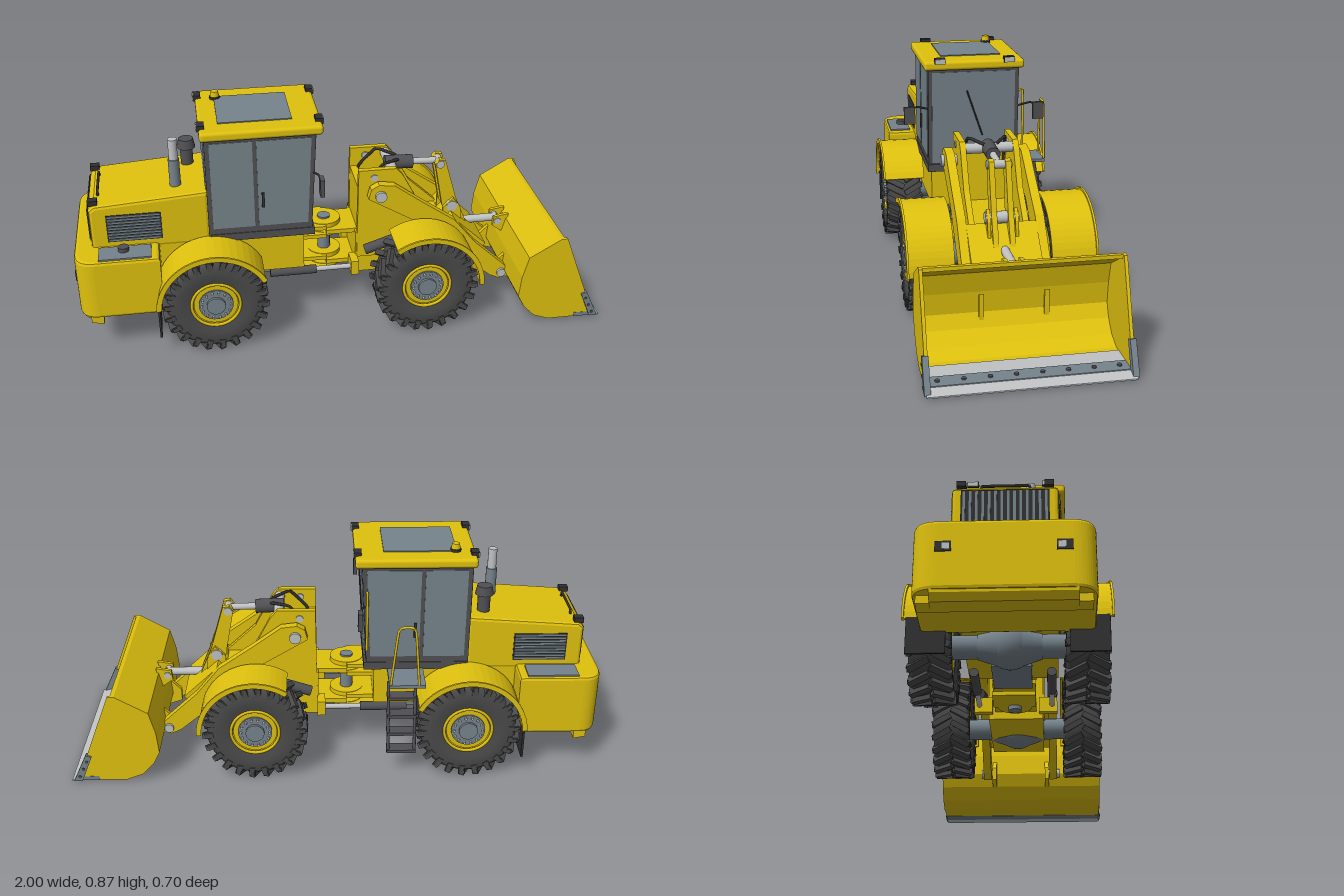
import * as THREE from 'three';
import { RoundedBoxGeometry } from 'three/addons/geometries/RoundedBoxGeometry.js';

const mat = (name, color) => {
  const m = new THREE.MeshStandardMaterial({ color });
  m.name = name;
  return m;
};

export function createModel() {
  const root = new THREE.Group();
  root.name = 'earthMover';
  const yellow = mat('yellow paint', 0xdfc10e);
  const rubber = mat('tyre rubber', 0x4a4a4b);
  const frame = mat('dark frame', 0x504f53);
  const glass = mat('tinted glass', 0x76848b);
  const steel = mat('grey steel', 0x76838c);
  const silver = mat('bright steel', 0xbfc1c3);
  const black = mat('black trim', 0x303032);

  // helpers
  const add = (name, geo, m, parent = root) => {
    const mesh = new THREE.Mesh(geo, m);
    mesh.name = name;
    parent.add(mesh);
    return mesh;
  };
  const box = (name, m, x0, x1, y0, y1, z0, z1, r = 0) => {
    const s = [x1 - x0, y1 - y0, Math.abs(z1 - z0)];
    const mesh = add(name, r ? new RoundedBoxGeometry(...s, 2, r) : new THREE.BoxGeometry(...s), m);
    mesh.position.set((x0 + x1) / 2, (y0 + y1) / 2, (z0 + z1) / 2);
    return mesh;
  };
  const toShape = pts => new THREE.Shape(pts.map(p => new THREE.Vector2(...p)));
  // side profile in x/y, extruded between two z values
  const plate = (name, m, pts, z0, z1, bevel = 0) => {
    const lo = Math.min(z0, z1), d = Math.abs(z1 - z0);
    const geo = new THREE.ExtrudeGeometry(toShape(pts), {
      depth: d - 2 * bevel, bevelEnabled: bevel > 0, bevelSize: bevel, bevelThickness: bevel,
      bevelOffset: -bevel, bevelSegments: 2 });
    geo.translate(0, 0, lo + bevel);
    return add(name, geo, m);
  };
  const rod = (name, m, a, b, r, r2 = r, seg = 18) => {
    const A = new THREE.Vector3(...a), B = new THREE.Vector3(...b), d = B.clone().sub(A);
    const mesh = add(name, new THREE.CylinderGeometry(r2, r, d.length(), seg), m);
    mesh.position.copy(A).add(B).multiplyScalar(0.5);
    mesh.quaternion.setFromUnitVectors(new THREE.Vector3(0, 1, 0), d.normalize());
    return mesh;
  };
  const tube = (name, m, pts, r) => add(name, new THREE.TubeGeometry(
    new THREE.CatmullRomCurve3(pts.map(p => new THREE.Vector3(...p)), false, 'catmullrom', 0.1), 24, r, 8), m);
  const pin = (name, m, x, y, z0, z1, r) => rod(name, m, [x, y, z0], [x, y, z1], r);
  const sides = [1, -1];

  // wheels: lathed tyre, staggered chevron lugs, rim and bolts
  const tyreProfile = [[0.092, -0.062], [0.125, -0.07], [0.165, -0.07], [0.18, -0.058], [0.183, 0],
    [0.18, 0.058], [0.165, 0.07], [0.125, 0.07], [0.092, 0.062]].map(p => new THREE.Vector2(...p));
  const wheel = (x, s) => {
    const g = new THREE.Group();
    g.name = 'wheel';
    g.position.set(x, 0.197, s * 0.258);
    if (s < 0) g.rotation.y = Math.PI;
    root.add(g);
    add('tyre', new THREE.LatheGeometry(tyreProfile, 48).rotateX(Math.PI / 2), rubber, g);
    const lug = new THREE.BoxGeometry(0.022, 0.026, 0.078);
    const shoulder = new THREE.BoxGeometry(0.022, 0.034, 0.012);
    const N = 22;
    for (let i = 0; i < N; i++) for (const k of sides) {
      const pivot = new THREE.Group();
      pivot.name = 'treadLug';
      pivot.rotation.z = (i + (k > 0 ? 0 : 0.5)) * 2 * Math.PI / N;
      g.add(pivot);
      const bar = add('treadBar', lug, rubber, pivot);
      bar.position.set(0, 0.184, k * 0.036);
      bar.rotation.y = -k * 0.5 * s;
      add('treadShoulder', shoulder, rubber, pivot).position.set(-0.016 * s, 0.172, k * 0.068);
    }
    const disc = (name, m, r, z0, z1) => {
      add(name, new THREE.CylinderGeometry(r, r, z1 - z0, 32).rotateX(Math.PI / 2), m, g).position.z = (z0 + z1) / 2;
    };
    disc('rim', yellow, 0.094, -0.06, 0.05);
    disc('rimSeat', yellow, 0.082, 0.05, 0.058);
    disc('hubPlate', steel, 0.064, 0.05, 0.064);
    disc('hubCap', steel, 0.035, 0.06, 0.074);
    add('rimLip', new THREE.TorusGeometry(0.09, 0.006, 8, 36), yellow, g).position.z = 0.062;
    for (let i = 0; i < 14; i++) {
      const a = i * Math.PI / 7;
      add('wheelNut', new THREE.CylinderGeometry(0.005, 0.005, 0.012, 6).rotateX(Math.PI / 2), silver, g)
        .position.set(Math.cos(a) * 0.054, Math.sin(a) * 0.054, 0.067);
    }
  };
  // curved fender shell around a wheel centre
  const fender = (x, s, a0, a1) => {
    const arc = (r, n) => Array.from({ length: 21 }, (_, i) => {
      const a = (a0 + (a1 - a0) * (n ? 20 - i : i) / 20) * Math.PI / 180;
      return [x + r * Math.cos(a), 0.197 + r * Math.sin(a)];
    });
    plate('fender', yellow, [...arc(0.212, 0), ...arc(0.204, 1)], s * 0.175, s * 0.34);
    plate('fenderRim', yellow, [...arc(0.219, 0), ...arc(0.2, 1)], s * 0.337, s * 0.345);
  };
  for (const s of sides) {
    for (const x of [-0.5, 0.3]) wheel(x, s);
    fender(-0.5, s, 28, 178);
    fender(0.3, s, 0, 125);
    box('mudflap', black, -0.713, -0.705, 0.08, 0.21, s * 0.2, s * 0.33);
  }
  for (const x of [-0.5, 0.3]) {
    pin('axle', steel, x, 0.197, -0.2, 0.2, 0.042);
    for (const s of sides) rod('axleCone', steel, [x, 0.197, s * 0.02], [x, 0.197, s * 0.11], 0.075, 0.045, 24);
    add('differential', new THREE.SphereGeometry(0.08, 24, 16), steel).position.set(x, 0.197, 0);
  }

  // rear chassis, hood and counterweight
  box('rearChassis', yellow, -0.9, -0.15, 0.23, 0.4, -0.165, 0.165);
  box('engineSump', steel, -0.42, -0.22, 0.16, 0.24, -0.07, 0.07);
  plate('hood', yellow, [[-0.935, 0.38], [-0.935, 0.545], [-0.915, 0.562], [-0.5, 0.592], [-0.5, 0.38]], -0.17, 0.17, 0.012);
  const weight = new THREE.Shape();
  weight.moveTo(-0.69, -0.283).lineTo(-0.93, -0.283).quadraticCurveTo(-0.998, -0.28, -1, -0.2)
    .lineTo(-1, 0.2).quadraticCurveTo(-0.998, 0.28, -0.93, 0.283).lineTo(-0.69, 0.283);
  add('counterweight', new THREE.ExtrudeGeometry(weight, { depth: 0.215, bevelEnabled: true, bevelSize: 0.012,
    bevelThickness: 0.012, bevelOffset: -0.012, bevelSegments: 2 }).rotateX(Math.PI / 2), yellow).position.y = 0.384;
  plate('counterweightSkirt', yellow, [[-0.998, 0.22], [-0.993, 0.15], [-0.975, 0.127], [-0.915, 0.122], [-0.912, 0.22]], -0.225, 0.225);
  for (const s of sides) {
    plate('skirtCorner', yellow, [[-0.96, 0.2], [-0.96, 0.13], [-0.915, 0.122], [-0.912, 0.2]], s * 0.22, s * 0.268);
    box('sideStep', steel, -0.91, -0.72, 0.393, 0.402, s * 0.185, s * 0.272);
    box('sideGrille', black, -0.875, -0.675, 0.415, 0.525, s * 0.168, s * 0.173);
    for (let i = 0; i < 9; i++) box('sideLouvre', steel, -0.87, -0.68, 0.42 + i * 0.012, 0.4265 + i * 0.012, s * 0.17, s * 0.176);
    box('tailLamp', black, -1.003, -0.996, 0.285, 0.32, s * 0.16, s * 0.21);
    box('tailLens', silver, -1.005, -1, 0.292, 0.313, s * 0.165, s * 0.188);
    rod('rearLampPost', black, [-0.915, 0.55, s * 0.14], [-0.915, 0.575, s * 0.14], 0.005);
    box('rearLamp', black, -0.935, -0.9, 0.56, 0.58, s * 0.125, s * 0.155);
  }
  tube('hoodHandle', black, [[-0.9, 0.555, -0.08], [-0.9, 0.58, -0.075], [-0.9, 0.58, 0.075], [-0.9, 0.555, 0.08]], 0.005);
  box('rearGrille', black, -0.94, -0.934, 0.41, 0.54, -0.14, 0.14);
  for (let i = 0; i < 14; i++) box('rearGrilleBar', steel, -0.943, -0.938, 0.415, 0.535, -0.134 + i * 0.02, -0.126 + i * 0.02);
  rod('fuelCap', frame, [-0.82, 0.4, 0.215], [-0.82, 0.418, 0.215], 0.02);
  rod('exhaustBase', steel, [-0.615, 0.57, 0.075], [-0.615, 0.69, 0.075], 0.021);
  rod('exhaustPipe', silver, [-0.615, 0.69, 0.075], [-0.615, 0.77, 0.075], 0.017);
  rod('airIntake', frame, [-0.565, 0.57, -0.09], [-0.565, 0.665, -0.09], 0.024);
  rod('airIntakeCap', frame, [-0.565, 0.655, -0.09], [-0.565, 0.69, -0.09], 0.035, 0.028);

  // cab: dark shell with thin glass panels
  plate('cabShell', frame, [[-0.505, 0.4], [-0.505, 0.805], [-0.1, 0.805], [-0.12, 0.4]], -0.18, 0.18);
  box('cabFloor', frame, -0.5, -0.11, 0.385, 0.415, -0.183, 0.183);
  for (const s of sides) {
    plate('sideGlassRear', glass, [[-0.488, 0.44], [-0.488, 0.79], [-0.333, 0.79], [-0.333, 0.44]], s * 0.178, s * 0.183);
    plate('sideGlassFront', glass, [[-0.318, 0.44], [-0.318, 0.79], [-0.118, 0.79], [-0.134, 0.44]], s * 0.178, s * 0.183);
    box('doorHandle', black, -0.305, -0.295, 0.52, 0.58, s * 0.18, s * 0.19);
  }
  plate('windscreen', glass, [[-0.121, 0.42], [-0.1025, 0.79], [-0.098, 0.79], [-0.1165, 0.42]], -0.165, 0.165);
  box('rearWindow', glass, -0.509, -0.503, 0.6, 0.79, -0.16, 0.16);
  rod('wiper', black, [-0.108, 0.53, -0.035], [-0.098, 0.715, 0.028], 0.003);
  box('roof', yellow, -0.52, -0.075, 0.802, 0.838, -0.198, 0.198, 0.012);
  box('roofWindow', glass, -0.45, -0.18, 0.835, 0.842, -0.12, 0.12);
  rod('beaconBase', black, [-0.445, 0.835, -0.11], [-0.445, 0.848, -0.11], 0.02);
  rod('beacon', yellow, [-0.445, 0.848, -0.11], [-0.445, 0.868, -0.11], 0.017, 0.014);
  for (const s of sides) {
    for (const [x, d] of [[-0.085, 1], [-0.512, -1]]) {
      box('workLamp', black, x - 0.014, x + 0.014, 0.828, 0.85, s * 0.115, s * 0.157);
      box('workLampLens', silver, x + d * 0.015 - 0.002, x + d * 0.015 + 0.002, 0.83, 0.848, s * 0.117, s * 0.155);
    }
    tube('mirrorArm', black, [[-0.11, 0.645, s * 0.18], [-0.1, 0.658, s * 0.225], [-0.092, 0.648, s * 0.262]], 0.004);
    box('mirror', frame, -0.1, -0.084, 0.592, 0.66, s * 0.235, s * 0.278);
  }

  // ladder and grab rails on the right side
  box('ladderPlatform', steel, -0.335, -0.2, 0.375, 0.388, -0.315, -0.17);
  for (const x of [-0.3, -0.2]) rod('ladderRail', frame, [x, 0.38, -0.27], [x, 0.1, -0.315], 0.006);
  for (let i = 0; i < 4; i++) box('ladderStep', frame, -0.305, -0.195, 0.1 + i * 0.07, 0.112 + i * 0.07, -0.325 + i * 0.011, -0.275 + i * 0.011);
  tube('ladderHandrail', yellow, [[-0.31, 0.39, -0.313], [-0.29, 0.62, -0.313], [-0.23, 0.62, -0.313], [-0.205, 0.39, -0.313]], 0.005);
  tube('cabGrabRail', yellow, [[-0.12, 0.475, -0.18], [-0.12, 0.475, -0.2], [-0.12, 0.705, -0.2], [-0.12, 0.705, -0.18]], 0.005);

  // articulated joint with steering cylinders
  for (const y of [0.155, 0.2, 0.3, 0.335]) {
    box('hingePlate', yellow, -0.17, -0.05, y, y + 0.016, -0.08, 0.08);
    rod('hingeBoss', yellow, [-0.05, y, 0], [-0.05, y + 0.018, 0], 0.065, 0.065, 28);
  }
  for (const y of [0.18, 0.315]) box('frontHingePlate', yellow, -0.05, 0.08, y, y + 0.018, -0.08, 0.08);
  rod('hingePin', steel, [-0.05, 0.14, 0], [-0.05, 0.36, 0], 0.025);
  for (const s of sides) {
    rod('steeringCylinder', frame, [-0.28, 0.2, s * 0.14], [-0.1, 0.2, s * 0.14], 0.017);
    rod('steeringRod', silver, [-0.1, 0.2, s * 0.14], [0.05, 0.2, s * 0.14], 0.01);
    box('steeringBracket', yellow, 0.035, 0.065, 0.17, 0.23, s * 0.09, s * 0.16);
  }

  // front chassis, lift tower and arms
  box('frontChassis', yellow, 0.06, 0.44, 0.15, 0.33, -0.105, 0.105);
  box('towerBack', yellow, 0.07, 0.1, 0.3, 0.52, -0.1, 0.1);
  for (const s of sides) {
    plate('towerPlate', yellow, [[0.065, 0.22], [0.07, 0.598], [0.215, 0.598], [0.24, 0.57], [0.31, 0.44], [0.44, 0.32], [0.44, 0.22]], s * 0.088, s * 0.11);
    plate('liftArm', yellow, [[0.1, 0.5], [0.11, 0.54], [0.14, 0.557], [0.2, 0.55], [0.31, 0.47], [0.44, 0.38], [0.53, 0.27],
      [0.665, 0.145], [0.668, 0.11], [0.64, 0.092], [0.6, 0.11], [0.43, 0.25], [0.3, 0.38]], s * 0.125, s * 0.158);
    pin('armPivot', silver, 0.147, 0.51, s * 0.1, s * 0.17, 0.022);
    pin('armTipPivot', silver, 0.645, 0.12, s * 0.11, s * 0.168, 0.018);
    pin('towerPin', silver, 0.13, 0.565, s * 0.08, s * 0.114, 0.014);
    rod('liftCylinder', frame, [0.09, 0.27, s * 0.142], [0.27, 0.33, s * 0.142], 0.02);
    rod('liftRod', silver, [0.27, 0.33, s * 0.142], [0.42, 0.345, s * 0.142], 0.011);
    tube('hydraulicHose', black, [[0.08, 0.28, s * 0.06], [0.1, 0.52, s * 0.08], [0.17, 0.6, s * 0.07], [0.24, 0.59, s * 0.02]], 0.006);
    plate('bellCrank', yellow, [[0.385, 0.565], [0.4, 0.585], [0.425, 0.58], [0.475, 0.41], [0.525, 0.29], [0.51, 0.262], [0.48, 0.265], [0.42, 0.38]], s * 0.02, s * 0.04);
    plate('crankMount', yellow, [[0.42, 0.3], [0.42, 0.38], [0.46, 0.42], [0.49, 0.38], [0.5, 0.26]], s * 0.044, s * 0.056);
    plate('bucketBracket', yellow, [[0.625, 0.09], [0.625, 0.14], [0.685, 0.2], [0.685, 0.07]], s * 0.105, s * 0.122);
    plate('linkBracket', yellow, [[0.635, 0.265], [0.64, 0.305], [0.7, 0.315], [0.685, 0.23]], s * 0.022, s * 0.036);
  }
  box('armCrossBeam', yellow, 0.41, 0.59, 0.261, 0.309, -0.126, 0.126).rotation.z = -0.75;
  pin('towerCrossPin', silver, 0.21, 0.57, -0.1, 0.1, 0.02);
  pin('crankPivot', silver, 0.455, 0.385, -0.06, 0.06, 0.022);
  pin('crankTopPin', silver, 0.405, 0.565, -0.045, 0.045, 0.016);
  pin('linkPin', silver, 0.5, 0.285, -0.045, 0.045, 0.014);
  pin('bucketLinkPin', silver, 0.655, 0.285, -0.04, 0.04, 0.014);
  rod('tiltCylinder', frame, [0.19, 0.572, 0], [0.3, 0.568, 0], 0.027);
  rod('tiltRod', silver, [0.3, 0.568, 0], [0.405, 0.565, 0], 0.013);
  rod('bucketLink', silver, [0.5, 0.285, 0], [0.66, 0.285, 0], 0.016);

  // bucket: bent shell, side plates and bolted cutting edge
  plate('bucketShell', yellow, [[0.825, 0.366], [0.81, 0.366], [0.69, 0.295], [0.668, 0.21], [0.66, 0.125], [0.685, 0.075],
    [0.73, 0.028], [0.79, 0.005], [0.9, 0.005], [0.9, 0.017], [0.795, 0.018], [0.738, 0.04], [0.696, 0.082],
    [0.673, 0.13], [0.68, 0.208], [0.7, 0.286], [0.814, 0.352], [0.825, 0.352]], -0.338, 0.338);
  box('bucketFloor', silver, 0.82, 0.905, 0.016, 0.02, -0.335, 0.335);
  plate('cuttingEdge', steel, [[0.895, 0.004], [0.895, 0.022], [0.955, 0.02], [0.965, 0.004]], -0.343, 0.343);
  plate('edgeTip', silver, [[0.955, 0.004], [0.955, 0.018], [0.998, 0.007], [0.998, 0.002]], -0.343, 0.343);
  for (let i = 0; i < 8; i++) rod('edgeBolt', frame, [0.925, 0.018, -0.3 + i * 0.0857], [0.925, 0.026, -0.3 + i * 0.0857], 0.008);
  for (const s of sides) {
    plate('bucketSide', yellow, [[0.835, 0.366], [0.81, 0.366], [0.69, 0.295], [0.668, 0.21], [0.66, 0.125],
      [0.685, 0.075], [0.73, 0.028], [0.79, 0.005], [0.975, 0.005]], s * 0.33, s * 0.342);
    plate('sideCutter', steel, [[0.915, 0.11], [0.937, 0.118], [0.99, 0.005], [0.958, 0.005]], s * 0.328, s * 0.349);
    for (const [x, y] of [[0.935, 0.09], [0.95, 0.057], [0.966, 0.024]]) pin('cutterBolt', frame, x, y, s * 0.345, s * 0.352, 0.006);
  }
  return root;
}
